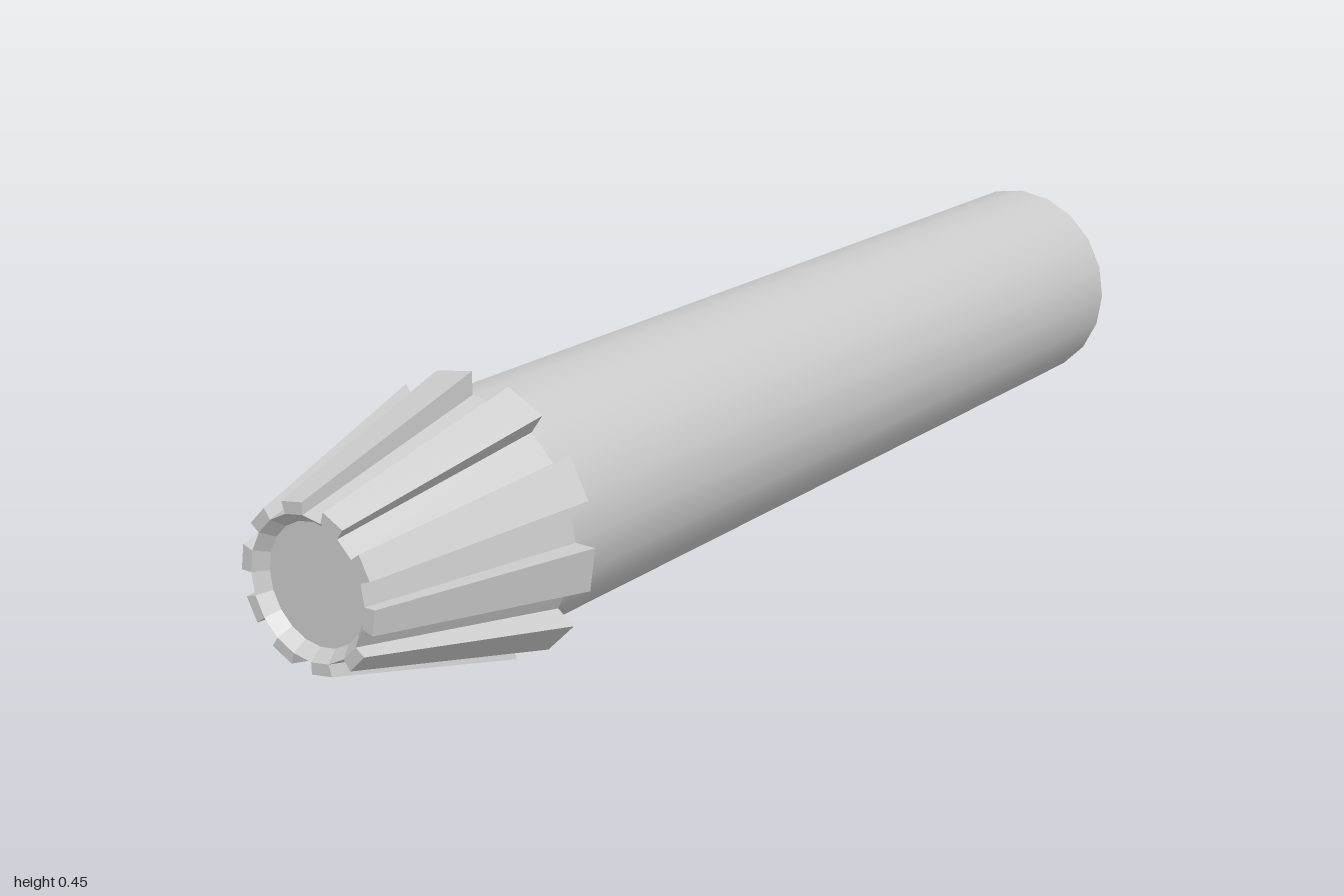
import * as THREE from 'three';

const SIDES = 20;
const STEP = (Math.PI * 2) / SIDES;
const AXIS_Y = 0.2245;
const BACK = -1, SHOULDER = 0.65, FRONT = 1;
const SHAFT_R = 0.1885, RIM_R = 0.1085;

// A straight block bent into a tapered tooth filling one facet of the head
function toothGeometry(startAngle) {
  const geo = new THREE.BoxGeometry(1, 1, 1);
  const p = geo.attributes.position;
  for (let i = 0; i < p.count; i++) {
    const angle = startAngle + (0.5 - p.getX(i)) * STEP;
    const outer = p.getY(i) > 0;
    const front = p.getZ(i) > 0;
    const r = front ? (outer ? 0.127 : RIM_R) : (outer ? 0.2245 : SHAFT_R);
    p.setXYZ(i, Math.cos(angle) * r, Math.sin(angle) * r, front ? FRONT : SHOULDER);
  }
  geo.computeVertexNormals();
  return geo;
}

export function createModel() {
  const model = new THREE.Group();
  model.name = 'toothedShaft';
  const smooth = new THREE.MeshStandardMaterial({ color: 0xcccccc });
  const flat = new THREE.MeshStandardMaterial({ color: 0xcccccc, flatShading: true });

  const add = (name, geo, mat, parent = model) => {
    const mesh = new THREE.Mesh(geo, mat);
    mesh.name = name;
    parent.add(mesh);
    return mesh;
  };

  // Long round shaft
  const shaft = new THREE.CylinderGeometry(SHAFT_R, SHAFT_R, SHOULDER - BACK, SIDES);
  shaft.rotateX(Math.PI / 2).translate(0, 0, (SHOULDER + BACK) / 2);
  add('shaft', shaft, smooth).position.y = AXIS_Y;

  // Tapered head with a shallow bevelled recess in its nose
  const profile = [[SHAFT_R, SHOULDER], [RIM_R, FRONT], [0.0925, FRONT - 0.02], [0, FRONT - 0.02]];
  const head = new THREE.LatheGeometry(profile.map(([r, z]) => new THREE.Vector2(r, z)), SIDES);
  head.rotateX(Math.PI / 2);
  add('head', head, flat).position.y = AXIS_Y;

  // Teeth on every second facet
  const teeth = new THREE.Group();
  teeth.name = 'teeth';
  teeth.position.y = AXIS_Y;
  for (let i = 0; i < SIDES / 2; i++) {
    add('tooth', toothGeometry(Math.PI / 2 + i * 2 * STEP), flat, teeth);
  }
  model.add(teeth);
  return model;
}
